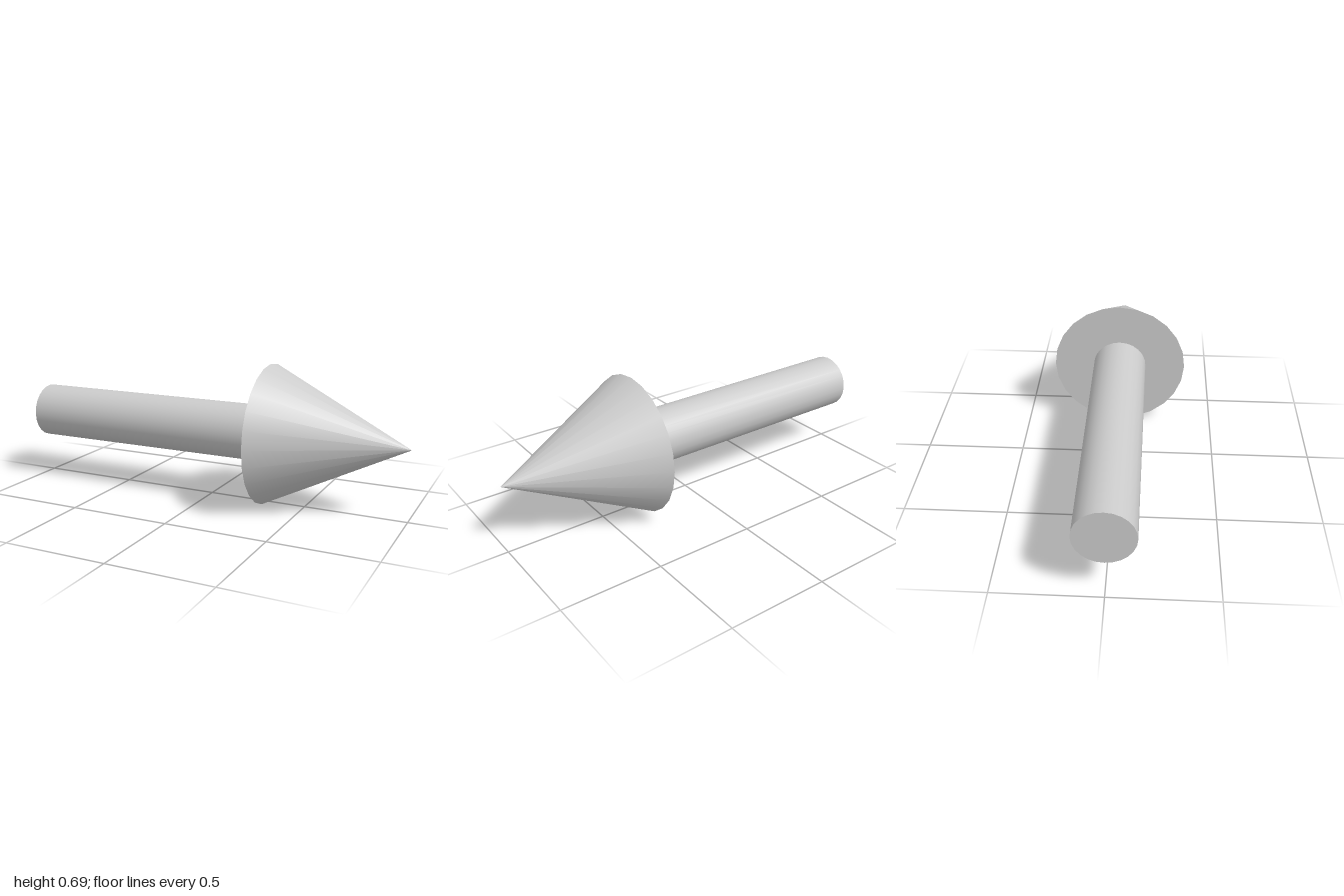
import * as THREE from 'three';

const SIDES = 24;
const HEAD_RADIUS = 0.345;
const SHAFT_RADIUS = 0.138;
const NECK_X = 0.31; // where the shaft meets the head

export function createModel() {
  const group = new THREE.Group();
  group.name = 'arrow';
  const material = new THREE.MeshStandardMaterial({ color: 0xcccccc });

  // Lays a y-axis geometry along x, from x0 to x1
  const addPart = (name, geometry, x0, x1) => {
    geometry.rotateZ(-Math.PI / 2);
    const mesh = new THREE.Mesh(geometry, material);
    mesh.name = name;
    mesh.position.set((x0 + x1) / 2, HEAD_RADIUS, 0);
    group.add(mesh);
  };

  // Round shaft with a closed tail end
  addPart('shaft', new THREE.CylinderGeometry(SHAFT_RADIUS, SHAFT_RADIUS, NECK_X + 1, SIDES), -1, NECK_X);

  // Pointed head with a flat back
  addPart('head', new THREE.ConeGeometry(HEAD_RADIUS, 1 - NECK_X, SIDES), NECK_X, 1);

  return group;
}
